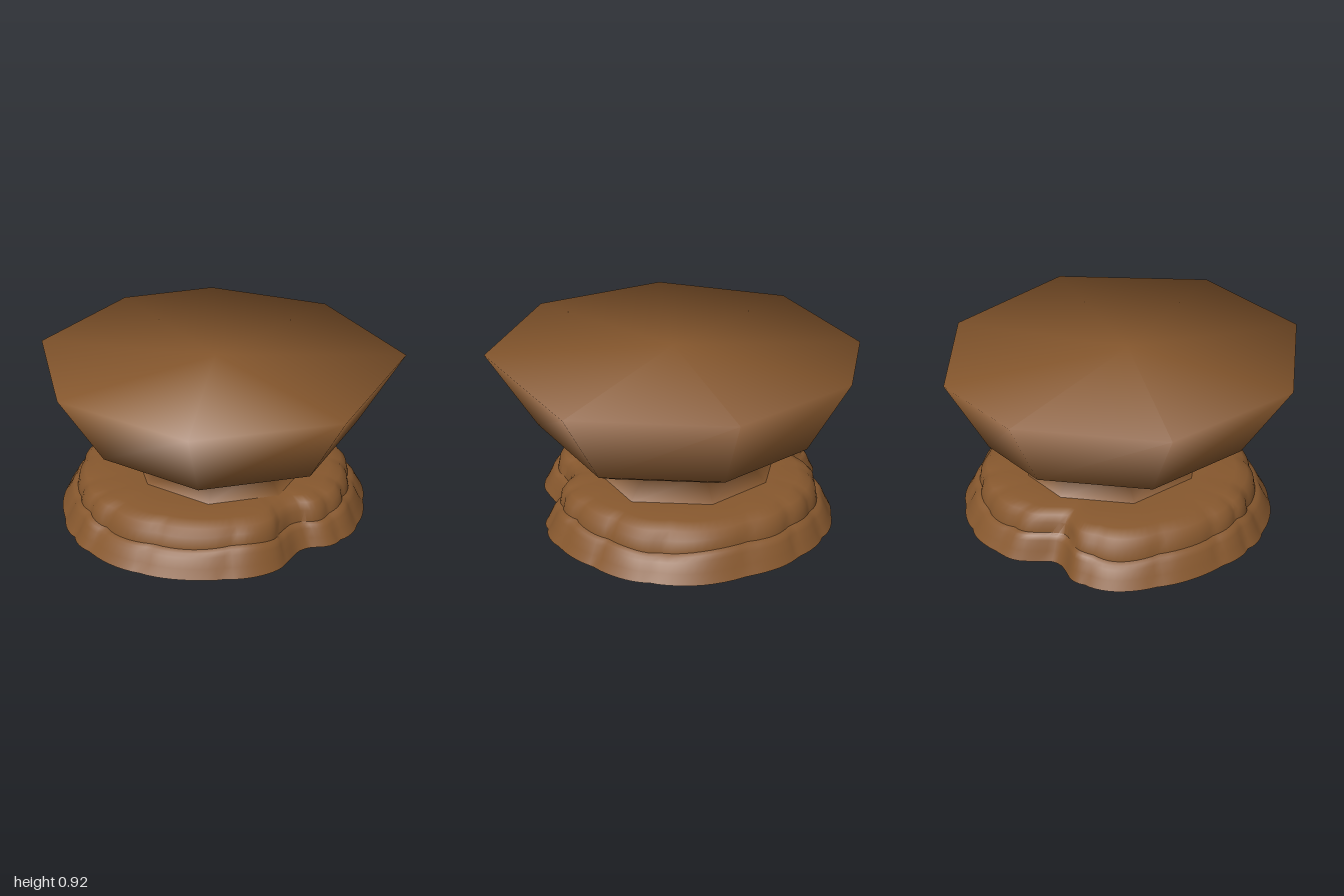
import * as THREE from 'three';
import { toCreasedNormals } from 'three/addons/utils/BufferGeometryUtils.js';

// Skin a stack of closed rings (bottom to top) and close the top with a centre point.
function loft(rings, topCentre) {
  const n = rings[0].length;
  const position = rings.flat(2).concat(topCentre);
  const index = [];
  for (let r = 0; r < rings.length - 1; r++) {
    for (let j = 0; j < n; j++) {
      const k = (j + 1) % n;
      const a = r * n + j, b = r * n + k;
      index.push(a, a + n, b, a + n, b + n, b);
    }
  }
  const last = (rings.length - 1) * n;
  for (let j = 0; j < n; j++) index.push(rings.length * n, last + (j + 1) % n, last + j);
  const geometry = new THREE.BufferGeometry();
  geometry.setAttribute('position', new THREE.Float32BufferAttribute(position, 3));
  geometry.setIndex(index);
  geometry.computeVertexNormals();
  return geometry;
}

// Eight-sided basin on a flared foot, with a flat filled top and soft shading over the rim.
function basinGeometry() {
  const rim = [
    [0.995, -0.045], [0.71, 0.66], [0, 0.95], [-0.71, 0.66],
    [-1, -0.05], [-0.835, -0.57], [-0.225, -0.955], [0.59, -0.825],
  ];
  // height, scale, shift x, shift z
  const levels = [
    [0.247, 0.51, -0.04, -0.06],
    [0.355, 0.385, -0.045, -0.07],
    [0.425, 0.625, -0.025, -0.03],
    [0.5, 0.76, -0.02, -0.025],
    [0.915, 1, 0, 0],
  ];
  const rings = levels.map(([y, s, dx, dz]) => rim.map(([x, z]) => [x * s + dx, y, z * s + dz]));
  const geometry = loft(rings, [0, 0.915, 0]);
  const normal = geometry.attributes.normal;
  const v = new THREE.Vector3();
  rim.forEach(([x, z], j) => {
    v.set(x, 0.8, z).normalize();
    normal.setXYZ((levels.length - 1) * rim.length + j, v.x, v.y, v.z);
  });
  return geometry;
}

// Lobed two-step rock, open underneath.
function rockGeometry() {
  const outline = new THREE.CatmullRomCurve3([
    [-0.15, 0.84], [-0.36, 0.78], [-0.65, 0.6], [-0.82, 0.38], [-0.85, 0.19], [-0.77, 0.04],
    [-0.86, -0.2], [-0.8, -0.47], [-0.65, -0.66], [-0.45, -0.8], [-0.1, -0.9], [0.2, -0.87],
    [0.38, -0.78], [0.55, -0.63], [0.68, -0.45], [0.72, -0.26], [0.66, -0.08], [0.73, 0.1],
    [0.69, 0.32], [0.53, 0.56], [0.31, 0.75], [0.03, 0.84],
  ].map(([x, z]) => new THREE.Vector3(x, 0, z)), true);
  const count = 144;
  const cx = -0.07, cz = -0.03;
  // height, scale, cleft depth, how much the ledge height wanders
  const levels = [
    [0, 1, 0.015, 0], [0.05, 0.965, 0.02, 0.002], [0.1, 0.935, 0.02, 0.007],
    [0.12, 0.915, 0.02, 0.009], [0.13, 0.89, 0.02, 0.009], [0.19, 0.875, 0.025, 0.005],
    [0.225, 0.835, 0.025, 0.002], [0.245, 0.76, 0.02, 0], [0.245, 0.55, 0, 0],
  ];
  const rings = levels.map(([y, scale, cleft, wander], level) => {
    const ring = [];
    for (let j = 0; j < count; j++) {
      const p = outline.getPoint(j / count);
      const a = (j / count) * Math.PI * 2;
      const lobes = Math.abs(Math.sin(a * 9 + 0.9 * Math.sin(a * 3) + level * 0.08)) ** 0.6 - 0.85;
      const k = scale + cleft * lobes;
      const wave = Math.sin(a * 5 + 1) + 0.6 * Math.sin(a * 11 + 2);
      ring.push([cx + (p.x - cx) * k, y + wander * wave, cz + (p.z - cz) * k]);
    }
    return ring;
  });
  return toCreasedNormals(loft(rings, [cx, 0.245, cz]), 0.8);
}

export function createModel() {
  const brown = new THREE.MeshStandardMaterial({ color: 0x87582e, side: THREE.DoubleSide });
  brown.name = 'earthBrown';

  const group = new THREE.Group();
  group.name = 'basinOnRock';
  const add = (name, geometry) => {
    const mesh = new THREE.Mesh(geometry, brown);
    mesh.name = name;
    group.add(mesh);
  };
  add('basin', basinGeometry());
  add('rockBase', rockGeometry());
  return group;
}
